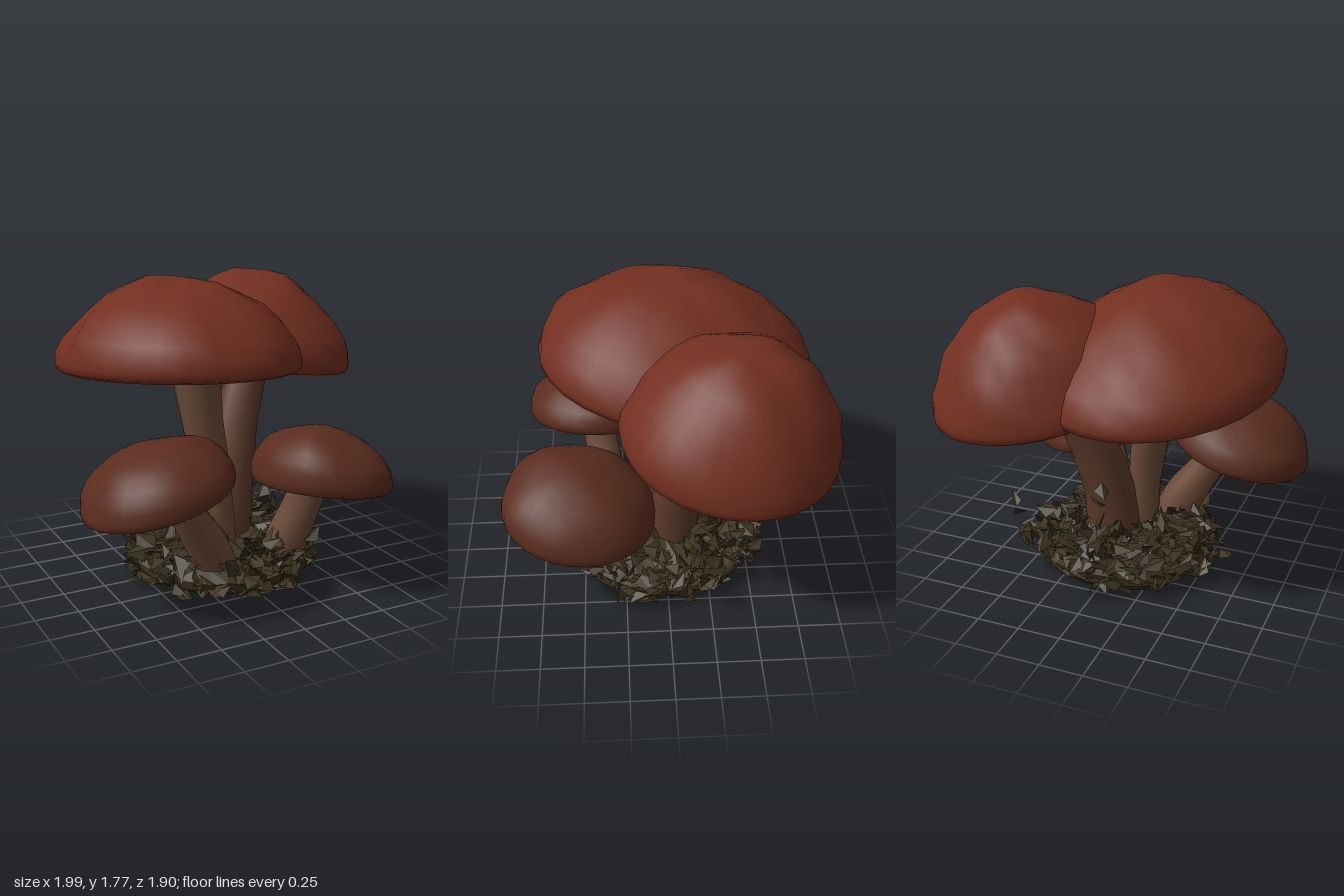
import * as THREE from 'three';
import { mergeVertices } from 'three/addons/utils/BufferGeometryUtils.js';

const V = (x, y, z) => new THREE.Vector3(x, y, z);
const material = (color, extra = {}) => new THREE.MeshStandardMaterial({ color, roughness: 0.8, ...extra });
const capMat = material(0x722f20);
const smallCapMat = material(0x5a2c1e);
const gillMat = material(0x4c3a2a, { side: THREE.DoubleSide, flatShading: true });
const stemMat = material(0x6b4a38);
const darkStemMat = material(0x5c3a2a);
const mossMat = material(0x3a301c, { side: THREE.DoubleSide, flatShading: true });

// Seeded random numbers
function makeRandom(seed) {
  return () => {
    seed = (seed * 1664525 + 1013904223) % 4294967296;
    return seed / 4294967296;
  };
}

// Soft lumps from layered sines
const lumps = (x, y, z) =>
  0.5 * Math.sin(7 * x + 3 * z + 1) * Math.cos(6 * z - 4 * y) +
  0.5 * Math.sin(15 * x - 6 * y) * Math.sin(13 * z + 9 * y + 2);

// Moves every vertex by a rule, then closes the seam and smooths the normals
function reshape(geometry, rule) {
  const p = geometry.attributes.position;
  const v = V(0, 0, 0);
  for (let i = 0; i < p.count; i++) {
    rule(v.fromBufferAttribute(p, i), i);
    p.setXYZ(i, v.x, v.y, v.z);
  }
  geometry.deleteAttribute('uv');
  geometry.deleteAttribute('normal');
  const merged = mergeVertices(geometry, 1e-4);
  merged.computeVertexNormals();
  return merged;
}

// Unit cap profiles, bottom to top: the broad and the round dome, and the gills
const broadDome = [[0.94, -0.08], [0.99, -0.05], [1, 0.03], [0.985, 0.16], [0.93, 0.31], [0.83, 0.5],
  [0.69, 0.67], [0.53, 0.81], [0.36, 0.92], [0.18, 0.98], [0, 1]];
const roundDome = [[0.94, -0.12], [0.99, -0.08], [1, 0.06], [0.98, 0.24], [0.92, 0.42], [0.82, 0.58],
  [0.69, 0.74], [0.53, 0.87], [0.36, 0.95], [0.18, 0.99], [0, 1]];
const innerGills = [[0.08, 0], [0.3, 0.03], [0.55, 0.03], [0.78, -0.01]];
const lathe = (profile, n) => new THREE.LatheGeometry(profile.map(([r, y]) => new THREE.Vector2(r, y)), n);

// Cap with an elliptical rim that leans by slopeX and slopeZ; the peak shifts by peakX and peakZ
function cap({ at, rx, rz, h, slopeX, slopeZ, peakX, peakZ, profile, mat }) {
  const group = new THREE.Group();
  const place = (v) => {
    const x = v.x * rx, z = v.z * rz, lift = Math.max(0, v.y) ** 2;
    return v.set(at[0] + x + peakX * lift, at[1] + v.y * h + slopeX * x + slopeZ * z, at[2] + z + peakZ * lift);
  };
  const dome = reshape(lathe(profile, 30), (v) => {
    const n = lumps(v.x * rx + at[0], v.y * h, v.z * rz + at[2]);
    place(v.multiplyScalar(1 + 0.05 * n * THREE.MathUtils.clamp(v.y * 3, 0, 1)));
  });
  // Alternate columns rise and fall to fold the gills, which end on the dome's rim
  const gillProfile = [...innerGills, profile[0]];
  const gills = reshape(lathe(gillProfile, 60), (v, i) => {
    const column = Math.floor(i / gillProfile.length);
    if (Math.hypot(v.x, v.z) < 0.9) v.y += column % 2 ? 0.04 : -0.02;
    place(v);
  });
  const top = new THREE.Mesh(dome, mat);
  top.name = 'capDome';
  const under = new THREE.Mesh(gills, gillMat);
  under.name = 'gills';
  group.add(top, under);
  return group;
}

// Curved stem whose radius changes along its length, bottom to top
function stem(points, radii, mat) {
  const curve = new THREE.CatmullRomCurve3(points.map((p) => V(...p)));
  const rings = 10, sides = 12;
  const geometry = reshape(new THREE.TubeGeometry(curve, rings, 1, sides), (v, i) => {
    const t = Math.floor(i / (sides + 1)) / rings;
    const s = t * (radii.length - 1);
    const k = Math.min(Math.floor(s), radii.length - 2);
    const radius = THREE.MathUtils.lerp(radii[k], radii[k + 1], s - k);
    const centre = curve.getPointAt(t);
    v.sub(centre).multiplyScalar(radius * (1 + 0.08 * lumps(v.x, centre.y, v.z))).add(centre);
  });
  const mesh = new THREE.Mesh(geometry, mat);
  mesh.name = 'stem';
  return mesh;
}

// Height of the soil mound at radius r
const moundHeight = (r) => 0.13 + 0.09 * Math.max(0, 1 - (r / 0.55) ** 2);

// Lumpy soil disc under everything
function soil() {
  const profile = [[0, 0.02], [0.18, 0.02], [0.34, 0.015], [0.47, 0.01], [0.52, 0.05], [0.53, 0.1],
    [0.47, 0.15], [0.36, moundHeight(0.36)], [0.2, moundHeight(0.2)], [0, moundHeight(0)]];
  const geometry = reshape(lathe(profile, 32), (v) => {
    const n = lumps(v.x * 3, v.y * 4, v.z * 3);
    v.set(v.x * (1 + 0.07 * n), Math.max(0, v.y + (v.y > 0.03 ? 0.035 : 0.015) * n), v.z * (1.03 + 0.07 * n));
    // The back edge curls up off the ground
    v.y += 0.25 * Math.max(0, -v.z - 0.4);
  });
  const mesh = new THREE.Mesh(geometry, mossMat);
  mesh.name = 'soil';
  return mesh;
}

// Bent leaf scraps scattered over the mound, plus a few stray ones
function litter() {
  const rand = makeRandom(11);
  const spread = (s) => (rand() - 0.5) * 2 * s;
  const position = [];
  const scrap = (c, size) => {
    const along = V(spread(1), spread(0.8), spread(1)).normalize();
    const side = along.clone().cross(V(spread(1), 1, spread(1))).normalize();
    const fold = along.clone().cross(side).multiplyScalar(size * 0.35);
    const corner = (a, b, f) => {
      const p = c.clone().addScaledVector(along, a * size).addScaledVector(side, b * size).addScaledVector(fold, f);
      p.y = Math.max(p.y, 0);
      return p;
    };
    const tail = corner(-1, spread(0.3), 0), tip = corner(1, spread(0.3), 0);
    const left = corner(spread(0.4), 0.75, 1), right = corner(spread(0.4), -0.75, 1);
    for (const p of [tail, tip, left, tip, tail, right]) position.push(p.x, p.y, p.z);
  };
  // A ring of scraps between two radii and two heights, piled higher towards the back
  const scatter = (count, r0, r1, low, high) => {
    for (let i = 0; i < count; i++) {
      const a = rand() * Math.PI * 2;
      const r = Math.sqrt(THREE.MathUtils.lerp(r0 * r0, r1 * r1, rand()));
      const z = Math.sin(a) * r * 1.04;
      const pile = 0.1 * Math.max(0, -z / 0.5);
      scrap(V(Math.cos(a) * r, low + pile * 0.5 + rand() * (high + pile - low), z), 0.045 + rand() * 0.05);
    }
  };
  scatter(240, 0.05, 0.5, 0.14, 0.25);
  scatter(260, 0.46, 0.54, 0.02, 0.2);
  scatter(90, 0, 0.46, 0, 0.03);
  // Tall scraps at the back, and around the foot of the front stem
  for (let i = 0; i < 45; i++) scrap(V(-0.25 + rand() * 0.7, 0.22 + rand() * 0.15, -0.25 - rand() * 0.27), 0.07);
  for (let i = 0; i < 24; i++) scrap(V(0.08 + rand() * 0.3, 0.16 + rand() * 0.16, 0.4 + rand() * 0.12), 0.07);
  // Strays beyond the rim
  const strays = [[0.68, 0.33, -0.2], [0.63, 0.27, -0.22], [0.58, 0.21, -0.2], [-0.6, 0.06, 0.1], [-0.55, 0.1, 0.15],
    [-0.52, 0.25, -0.1], [0.05, 0.54, -0.28], [0.08, 0.46, -0.26], [0.1, 0.2, -0.57], [0.55, 0.12, -0.1]];
  for (const p of strays) scrap(V(...p), 0.06);
  const geometry = new THREE.BufferGeometry();
  geometry.setAttribute('position', new THREE.Float32BufferAttribute(position, 3));
  geometry.computeVertexNormals();
  const mesh = new THREE.Mesh(geometry, mossMat);
  mesh.name = 'leafLitter';
  return mesh;
}

const mushrooms = [
  { name: 'largeMushroomFront',
    cap: { at: [-0.23, 1.265, -0.08], rx: 0.69, rz: 0.8, h: 0.49, slopeX: -0.04, slopeZ: 0.1,
      peakX: -0.02, peakZ: -0.02, profile: broadDome, mat: capMat },
    path: [[-0.05, 0.08, 0.11], [-0.08, 0.5, 0.09], [-0.13, 0.85, 0.06], [-0.18, 1.3, 0.03]],
    radii: [0.1, 0.1, 0.12, 0.145], stemMat },
  { name: 'largeMushroomBack',
    cap: { at: [0.41, 1.16, -0.34], rx: 0.59, rz: 0.61, h: 0.56, slopeX: -0.13, slopeZ: 0.12,
      peakX: 0.04, peakZ: -0.11, profile: broadDome, mat: capMat },
    path: [[0.06, 0.08, -0.04], [0.09, 0.45, -0.07], [0.18, 0.8, -0.15], [0.35, 1.22, -0.27]],
    radii: [0.16, 0.15, 0.13, 0.12], stemMat: darkStemMat },
  { name: 'smallMushroomLeftSide',
    cap: { at: [-0.58, 0.68, 0.41], rx: 0.42, rz: 0.42, h: 0.265, slopeX: 0.24, slopeZ: 0.03,
      peakX: -0.05, peakZ: 0, profile: roundDome, mat: smallCapMat },
    path: [[-0.15, 0.08, 0.3], [-0.26, 0.3, 0.34], [-0.4, 0.52, 0.38], [-0.5, 0.74, 0.41]],
    radii: [0.12, 0.12, 0.1, 0.1], stemMat },
  { name: 'smallMushroomRightSide',
    cap: { at: [0.39, 0.64, 0.51], rx: 0.39, rz: 0.44, h: 0.31, slopeX: -0.13, slopeZ: 0.1,
      peakX: -0.02, peakZ: 0, profile: roundDome, mat: smallCapMat },
    path: [[0.21, 0.08, 0.34], [0.26, 0.3, 0.39], [0.32, 0.5, 0.44], [0.36, 0.7, 0.48]],
    radii: [0.12, 0.12, 0.11, 0.1], stemMat },
];

export function createModel() {
  const model = new THREE.Group();
  model.name = 'mushroomCluster';
  for (const m of mushrooms) {
    const group = new THREE.Group();
    group.name = m.name;
    const head = cap(m.cap);
    head.name = 'cap';
    group.add(head, stem(m.path, m.radii, m.stemMat));
    model.add(group);
  }
  model.add(soil(), litter());
  return model;
}
